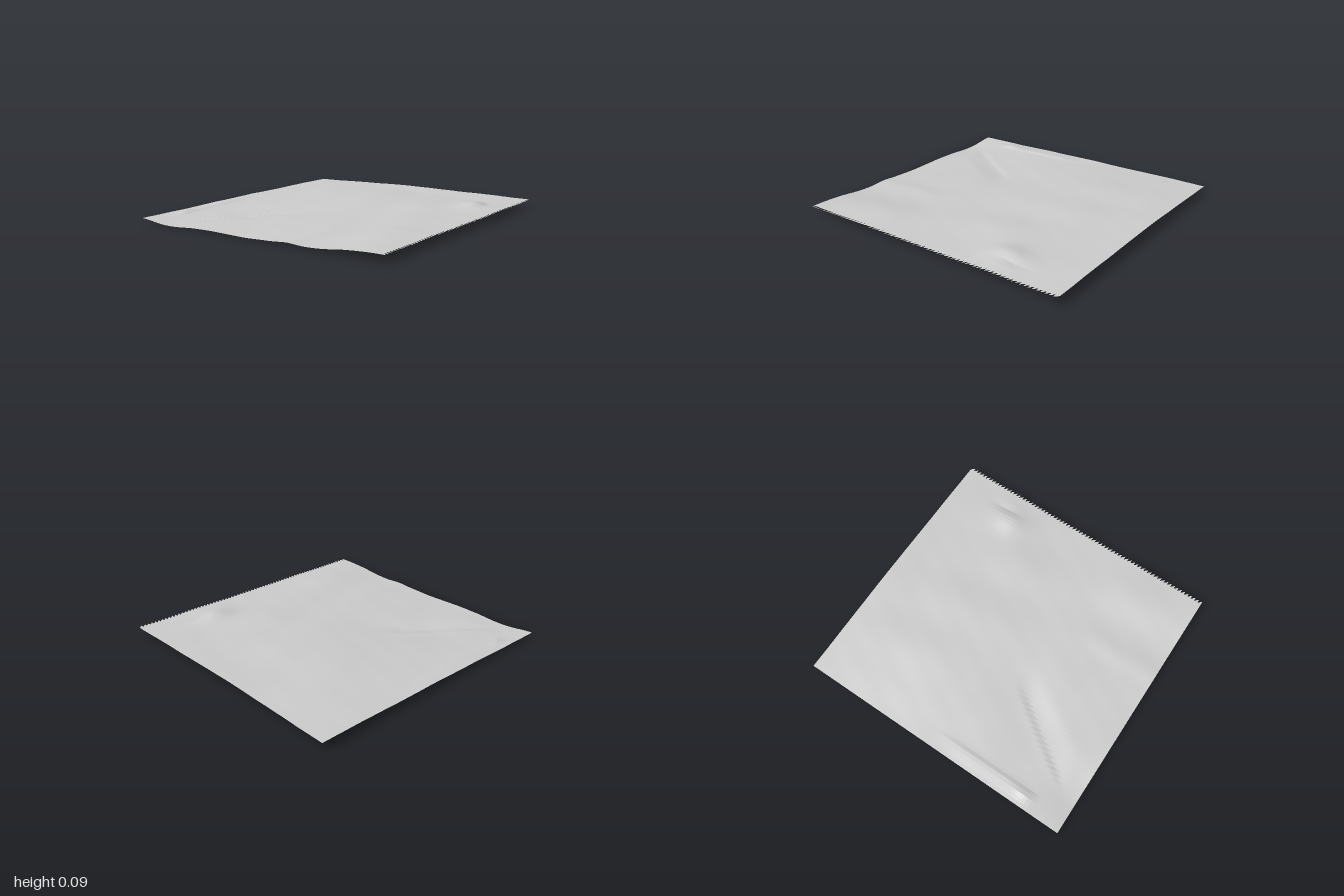
import * as THREE from 'three';

// Coarse heights in thousandths: rows run back to front, columns left to right in x
const H = [
  [30, 33, 38, 44, 50, 53, 56, 60, 60],
  [6, 20, 34, 45, 55, 61, 67, 69, 66],
  [18, 26, 25, 44, 60, 73, 80, 75, 71],
  [20, 30, 38, 42, 58, 74, 77, 73, 75],
  [17, 32, 44, 52, 66, 78, 82, 73, 77],
  [26, 34, 45, 53, 62, 70, 72, 67, 74],
  [25, 36, 47, 56, 66, 77, 73, 66, 72],
  [48, 60, 65, 60, 60, 64, 74, 67, 68],
  [56, 57, 58, 57, 56, 58, 62, 61, 63],
];
const COLS = 72, ROWS = 72, DEPTH = 0.96;

const clamp = THREE.MathUtils.clamp;
const smooth = THREE.MathUtils.smoothstep;
const bump = (x, z, cx, cz, rx, rz) => Math.exp(-(((x - cx) / rx) ** 2) - ((z - cz) / rz) ** 2);

// Catmull-Rom interpolation along one line of heights
function spline(values, t) {
  const i = Math.min(Math.floor(t), values.length - 2), f = t - i;
  const at = (k) => values[clamp(k, 0, values.length - 1)];
  const [a, b, c, d] = [at(i - 1), at(i), at(i + 1), at(i + 2)];
  return b + 0.5 * f * (c - a + f * (2 * a - 5 * b + 4 * c - d + f * (3 * (b - c) + d - a)));
}

function heightAt(x, z) {
  const u = clamp((x + 1) * 4, 0, 8), v = clamp((z / DEPTH + 1) * 4, 0, 8);
  let y = spline(H.map((row) => spline(row, u)), v) / 1000;
  // Gentle rolling ground
  y += 0.0014 * Math.sin(9 * x + 5 * z) * Math.sin(11 * z - 4 * x + 1);
  y += 0.0006 * Math.sin(23 * x - 13 * z) * Math.sin(19 * z + 7 * x);
  // Diagonal bank across the back left
  const across = z + 0.7 - 0.69 * (x + 0.85);
  const along = smooth(x, -0.9, -0.75) * (1 - smooth(x, -0.4, -0.2));
  y -= 0.008 * along * smooth(across, -0.02, 0.03) * (1 - smooth(across, 0.03, 0.25));
  // Cut along the back edge
  const cut = smooth(x, -0.8, -0.7) * (1 - smooth(x, -0.3, 0.1));
  y += 0.007 * cut * (1 - smooth(z, -0.85, -0.82)) * smooth(z, -0.96, -0.86);
  y += 0.008 * bump(x, z, -0.68, -0.88, 0.06, 0.025);
  // Shallow bank on the left
  y += 0.006 * (1 - smooth(x, -0.6, -0.3)) * bump(x, z, x, 0.3, 1, 0.08);
  // Mound with a steep step near the front
  y += 0.022 * bump(x, z, 0.5, 0.73, 0.11, 0.09);
  y -= 0.01 * bump(x, z, 0.57, 0.8, 0.1, 0.03);
  return y;
}

export function createModel() {
  const group = new THREE.Group();
  group.name = 'terrain';

  const positions = [], index = [];
  for (let r = 0; r <= ROWS; r++) {
    for (let c = 0; c <= COLS; c++) {
      const x = -1 + (2 * c) / COLS, z = -DEPTH + (2 * DEPTH * r) / ROWS;
      positions.push(x, heightAt(x, z), z);
    }
  }
  for (let r = 0; r < ROWS; r++) {
    for (let c = 0; c < COLS; c++) {
      const a = r * (COLS + 1) + c, b = a + COLS + 1;
      index.push(a, b, a + 1);
      // The front row keeps only half of each cell, leaving a saw-tooth edge
      if (r < ROWS - 1) index.push(a + 1, b, b + 1);
    }
  }

  const geometry = new THREE.BufferGeometry();
  geometry.setAttribute('position', new THREE.Float32BufferAttribute(positions, 3));
  geometry.setIndex(index);
  geometry.computeBoundingBox();
  geometry.translate(0, -geometry.boundingBox.min.y, 0);
  geometry.computeVertexNormals();

  const material = new THREE.MeshStandardMaterial({
    color: 0xcccccc, flatShading: true, side: THREE.DoubleSide,
  });
  material.name = 'light grey';
  const ground = new THREE.Mesh(geometry, material);
  ground.name = 'groundSurface';
  group.add(ground);
  return group;
}
